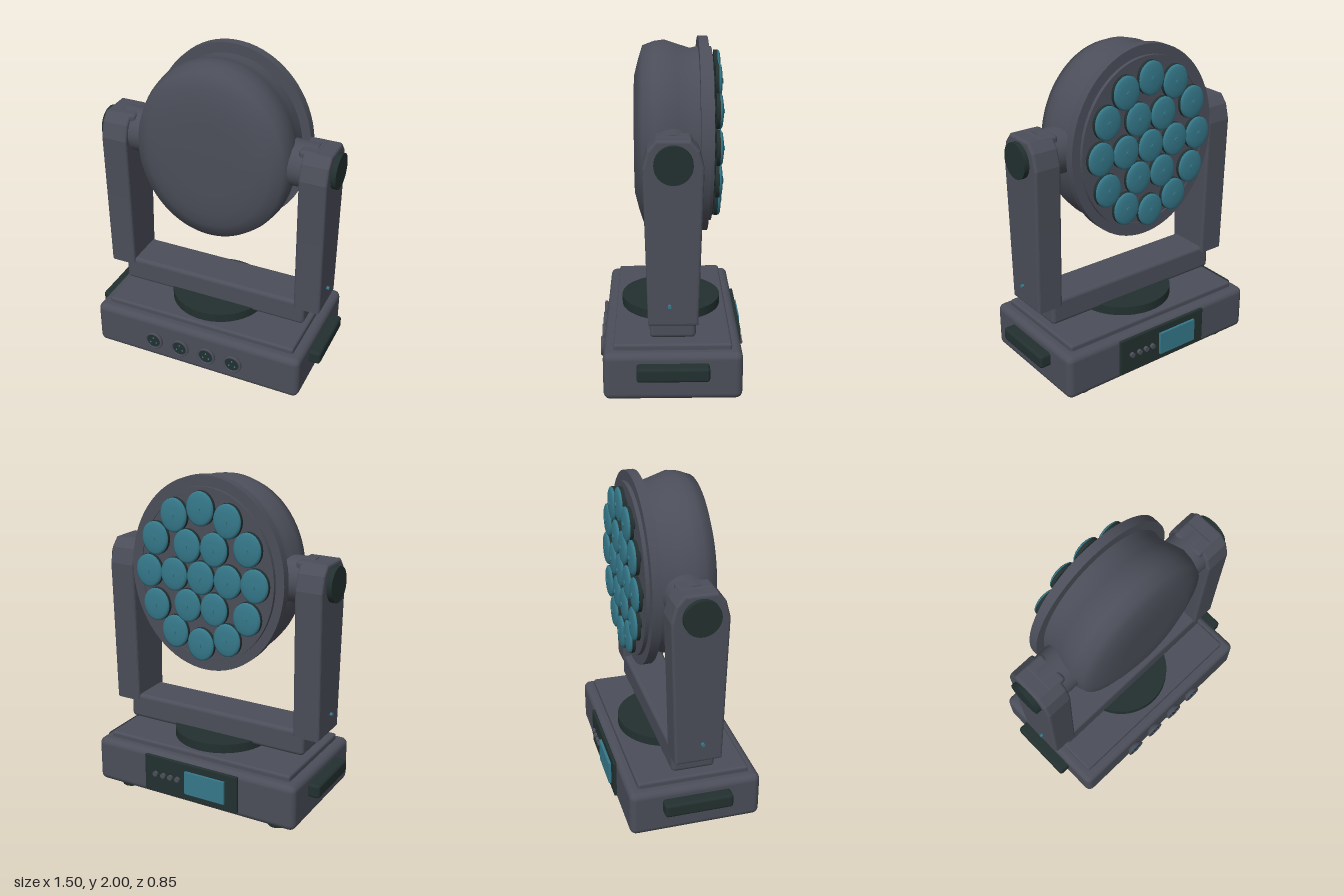
import * as THREE from 'three';
import { RoundedBoxGeometry } from 'three/addons/geometries/RoundedBoxGeometry.js';

const material = (name, color) => Object.assign(new THREE.MeshStandardMaterial({ color }), { name });

export function createModel() {
  const body = material('charcoal casing', 0x4b4e59);
  const dark = material('black rubber', 0x22302f);
  const teal = material('teal glass', 0x35788a);
  const model = new THREE.Group();
  model.name = 'movingHeadLight';

  const add = (parent, name, geometry, mat, x = 0, y = 0, z = 0) => {
    const mesh = new THREE.Mesh(geometry, mat);
    mesh.name = name;
    mesh.position.set(x, y, z);
    parent.add(mesh);
    return mesh;
  };
  const box = (w, h, d, r) => new RoundedBoxGeometry(w, h, d, 3, r);
  const cylX = (r, len) => new THREE.CylinderGeometry(r, r, len, 40).rotateZ(Math.PI / 2);
  const cylZ = (r, len, seg = 32) => new THREE.CylinderGeometry(r, r, len, seg).rotateX(Math.PI / 2);
  // Lathe turned so that its profile height runs along +z
  const latheZ = (pts, seg) => new THREE.LatheGeometry(
    pts.map(([r, z]) => new THREE.Vector2(r, z)), seg).rotateX(Math.PI / 2);

  // Base
  const base = new THREE.Group();
  base.name = 'base';
  model.add(base);
  add(base, 'baseCase', box(1.36, 0.285, 0.79, 0.04), body, 0, 0.1825, 0);
  add(base, 'baseTopPlate', box(1.24, 0.08, 0.67, 0.015), body, 0, 0.32, 0);
  add(base, 'panBearing', new THREE.CylinderGeometry(0.3, 0.3, 0.06, 64), dark, 0, 0.385, 0);
  for (const sx of [-1, 1]) {
    for (const sz of [-1, 1])
      add(base, 'foot', new THREE.CylinderGeometry(0.065, 0.06, 0.05, 28), dark, sx * 0.52, 0.025, sz * 0.27);
    add(base, 'sideHandle', box(0.09, 0.085, 0.41, 0.018), dark, sx * 0.705, 0.2275, 0);
  }

  // Front sockets
  for (const x of [-0.27, -0.09, 0.09, 0.265]) {
    const socket = new THREE.Group();
    socket.name = 'socket';
    socket.position.set(x, 0.185, 0.39);
    base.add(socket);
    add(socket, 'socketCollar', latheZ([[0.046, 0], [0.05, 0.012], [0.059, 0.018],
      [0.059, 0.03], [0.055, 0.034], [0.046, 0.034], [0.044, 0.025]], 32), body);
    add(socket, 'socketInsert', cylZ(0.046, 0.03), dark, 0, 0, 0.014);
    for (let i = 0; i < 3; i++) {
      const a = Math.PI / 2 + i * Math.PI * 2 / 3;
      add(socket, 'socketPin', cylZ(0.005, 0.008, 8), teal, Math.cos(a) * 0.022, Math.sin(a) * 0.022, 0.029);
    }
  }

  // Rear control panel
  add(base, 'controlPanel', box(0.64, 0.235, 0.02, 0.006), dark, 0, 0.19, -0.4);
  add(base, 'screen', new THREE.BoxGeometry(0.27, 0.145, 0.02), teal, -0.105, 0.19, -0.416);
  for (const x of [0.085, 0.135, 0.185, 0.24])
    add(base, 'panelButton', cylZ(0.016, 0.02, 16), body, x, 0.195, -0.417);

  // Yoke
  const yoke = new THREE.Group();
  yoke.name = 'yoke';
  model.add(yoke);
  add(yoke, 'yokeBar', box(1.21, 0.16, 0.26, 0.025), body, 0, 0.47, 0);
  const bevel = 0.015;
  const side = new THREE.Shape([
    [-0.124, 0.525], [0.124, 0.525], [0.137, 1], [0.149, 1.4], [0.125, 1.49], [0.085, 1.537],
    [-0.085, 1.537], [-0.125, 1.49], [-0.149, 1.4], [-0.137, 1],
  ].map(([z, y]) => new THREE.Vector2(z, y)));
  const armGeometry = new THREE.ExtrudeGeometry(side, {
    depth: 0.165 - 2 * bevel, bevelSize: bevel, bevelThickness: bevel, bevelSegments: 3,
  }).translate(0, 0, -0.0825 + bevel).rotateY(Math.PI / 2);
  for (const s of [-1, 1]) {
    add(yoke, 'yokeArm', armGeometry, body, s * 0.6225, 0, 0);
    add(yoke, 'tiltHub', cylX(0.135, 0.2), body, s * 0.5, 1.425, 0);
    add(yoke, 'hubBlock', box(0.12, 0.12, 0.2, 0.02), body, s * 0.57, 1.495, 0);
    add(yoke, 'tiltCap', cylX(0.105, 0.05), dark, s * 0.71, 1.425, 0);
    add(yoke, 'statusLight', cylX(0.01, 0.02), teal, s * 0.711, 0.63, 0.02);
  }

  // Head: oval shell, turned as circles and narrowed in x
  const head = new THREE.Group();
  head.name = 'head';
  head.position.y = 1.425;
  head.scale.x = 0.87;
  model.add(head);
  add(head, 'headShell', latheZ([[0.5, -0.17], [0.515, -0.15], [0.505, -0.11], [0.53, -0.03],
    [0.553, 0.04], [0.545, 0.1], [0.52, 0.165], [0.44, 0.19], [0.35, 0.213], [0.2, 0.215], [0, 0.215]], 72), body);
  add(head, 'headFlange', cylZ(0.575, 0.055, 72), body, 0, 0, -0.1825);
  add(head, 'lensPlate', cylZ(0.5, 0.02, 72), body, 0, 0, -0.215);
  const rim = new THREE.Shape().absarc(0, 0, 0.515, 0, Math.PI * 2);
  rim.holes.push(new THREE.Path().absarc(0, 0, 0.485, 0, Math.PI * 2, true));
  add(head, 'lensRim', new THREE.ExtrudeGeometry(rim, { depth: 0.03, bevelEnabled: false, curveSegments: 48 }),
    body, 0, 0, -0.232);

  // Lenses: one in the centre, then rings of six and twelve
  const cup = cylZ(0.1, 0.02);
  const stem = cylZ(0.03, 0.04, 16);
  const glass = latheZ([[0, -0.288], [0.05, -0.286], [0.085, -0.281], [0.098, -0.274], [0.098, -0.264]], 32);
  const dot = cylZ(0.014, 0.012, 12);
  for (const [count, radius] of [[1, 0], [6, 0.202], [12, 0.398]]) {
    for (let i = 0; i < count; i++) {
      const a = i * Math.PI * 2 / count;
      const lens = new THREE.Group();
      lens.name = 'lens';
      lens.position.set(Math.cos(a) * radius, Math.sin(a) * radius, 0);
      head.add(lens);
      add(lens, 'lensStem', stem, dark, 0, 0, -0.235);
      add(lens, 'lensCup', cup, dark, 0, 0, -0.256);
      add(lens, 'lensGlass', glass, teal);
      add(lens, 'lensDot', dot, teal, 0, 0, -0.287);
    }
  }
  return model;
}
